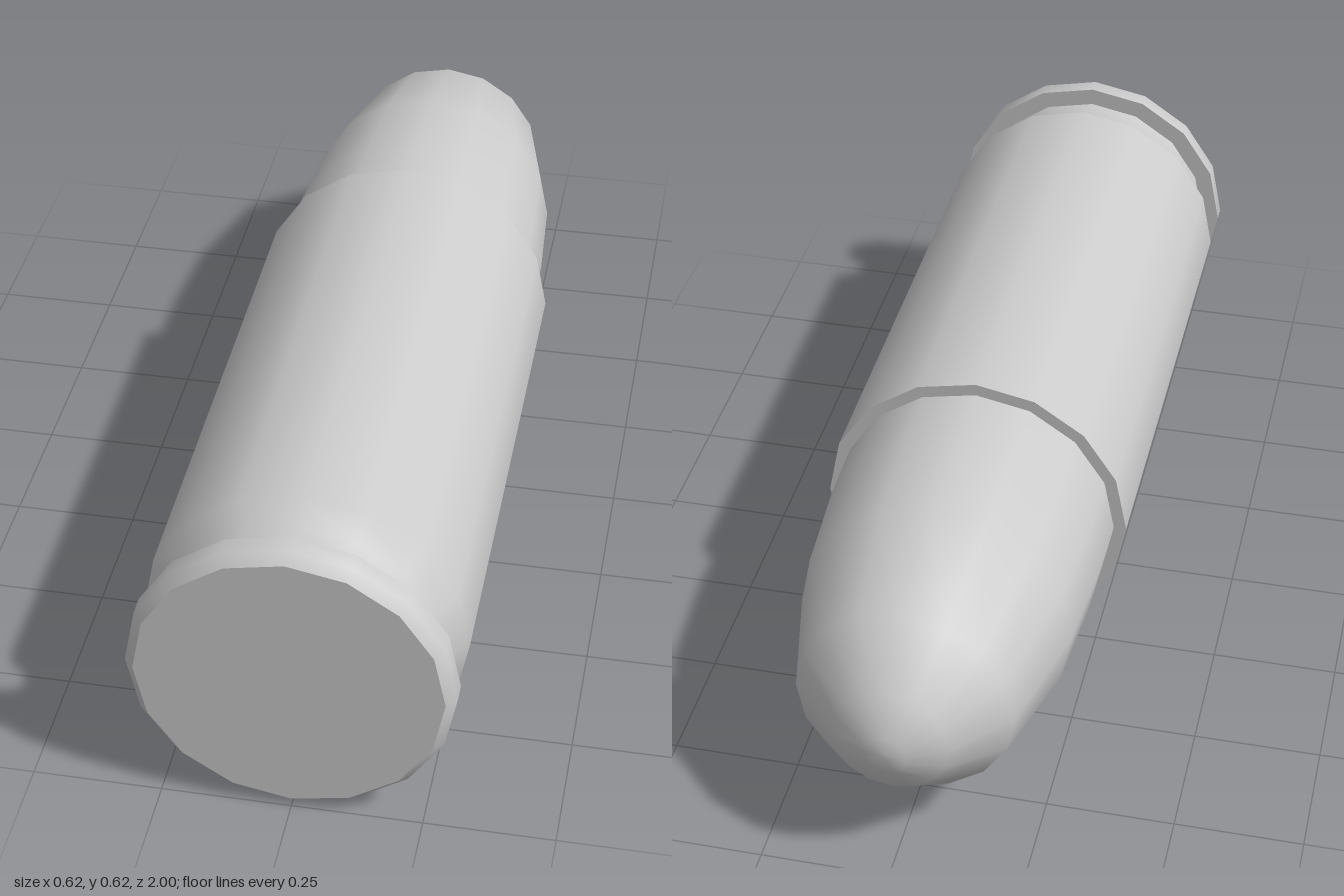
import * as THREE from 'three';

const SIDES = 16;
const RADIUS = 0.308;

export function createModel() {
  const group = new THREE.Group();
  group.name = 'cartridge';
  const material = new THREE.MeshStandardMaterial({ color: 0xcccccc });

  // Turned part: profile of [radius, distance towards the tip]; the axis runs along -z
  const turned = (name, profile) => {
    const points = profile.map(([r, d]) => new THREE.Vector2(r, d));
    const geometry = new THREE.LatheGeometry(points, SIDES);
    geometry.rotateX(-Math.PI / 2);
    geometry.translate(0, RADIUS, 0);
    const mesh = new THREE.Mesh(geometry, material);
    mesh.name = name;
    group.add(mesh);
  };

  // Flat base and bevelled extraction rim; separate lathes keep the edges sharp
  turned('base', [[0, -1], [0.289, -1]]);
  turned('rim', [[0.289, -1], [RADIUS, -0.98], [RADIUS, -0.943]]);
  turned('rimShoulder', [[RADIUS, -0.943], [0.27, -0.943]]);

  // Extraction groove flowing into the straight case
  turned('case', [[0.27, -0.943], [0.27, -0.87], [RADIUS, -0.835], [RADIUS, 0.26]]);
  turned('caseMouth', [[RADIUS, 0.26], [0.283, 0.26]]);

  // Rounded nose
  turned('bullet', [
    [0.283, 0.26], [0.281, 0.4], [0.267, 0.61], [0.21, 0.85],
    [0.112, 0.96], [0.04, 0.998], [0, 1],
  ]);

  return group;
}
